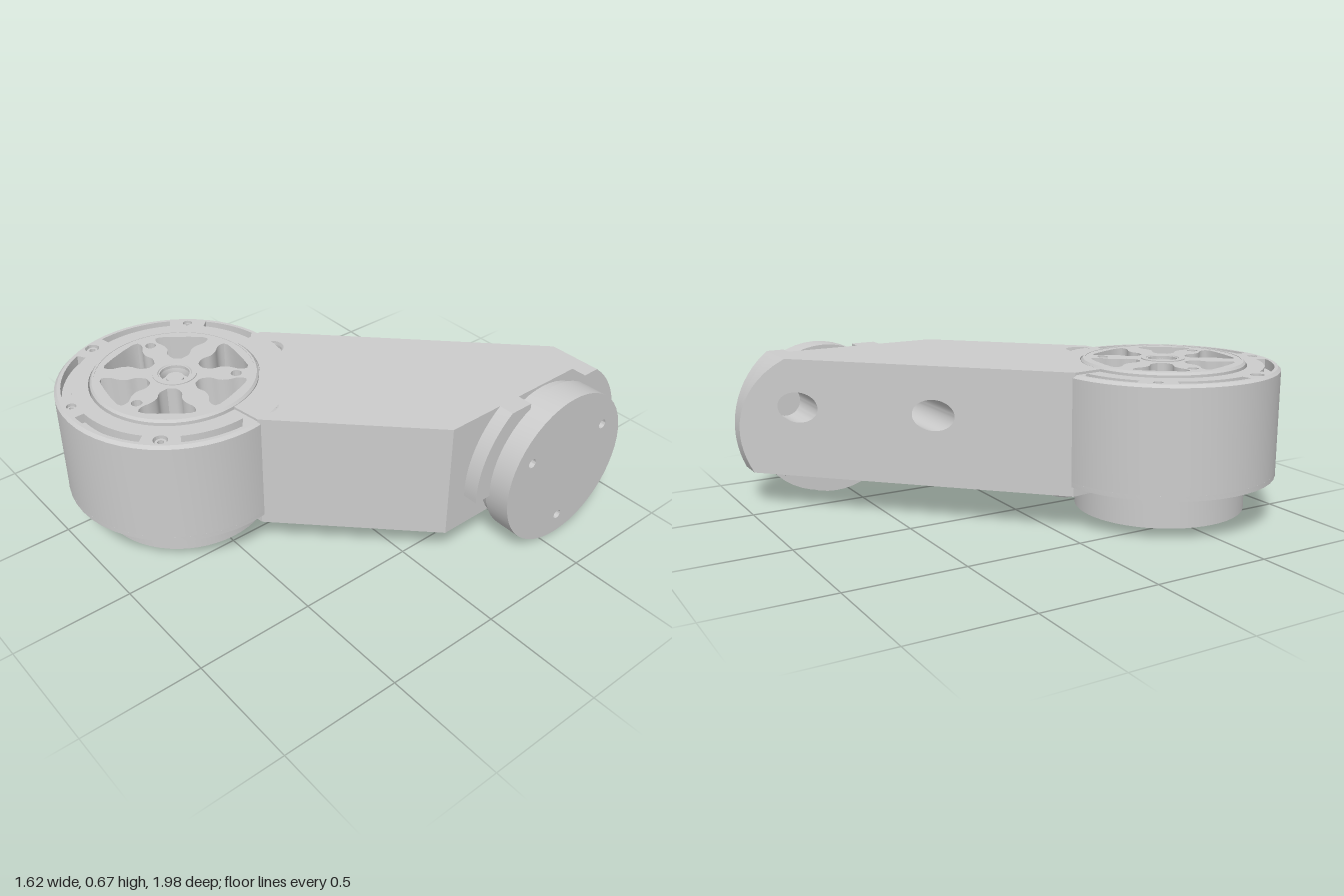
import * as THREE from 'three';
import { toCreasedNormals } from 'three/addons/utils/BufferGeometryUtils.js';

const grey = new THREE.MeshStandardMaterial({ color: 0xcccccc });
const greyOpen = new THREE.MeshStandardMaterial({ color: 0xcccccc, side: THREE.DoubleSide });
const CX = -0.335, CZ = 0.51;             // drum axis
const FA = 0.585, FY = 0.34;              // flange axis, as (-z, y)
const LOW = 0.16, HIGH = 0.665;           // arm bottom and top
const rad = THREE.MathUtils.degToRad;
const polar = (r, deg) => new THREE.Vector2(r * Math.cos(rad(deg)), r * Math.sin(rad(deg)));

function circle(r, x = 0, y = 0, Type = THREE.Path) {
  return new Type().absarc(x, y, r, 0, Math.PI * 2);
}

// Curved slot between two angles on a circle of radius r
function slot(r, w, from, to) {
  const pts = [];
  for (let i = 0; i <= 10; i++) pts.push(polar(r + w, from + (to - from) * i / 10));
  for (let i = 0; i <= 10; i++) pts.push(polar(r - w, to + (from - to) * i / 10));
  return new THREE.Path(pts);
}

export function createModel() {
  const group = new THREE.Group();
  const drum = new THREE.Group();
  drum.name = 'drum';
  drum.position.set(CX, 0, CZ);
  const arm = new THREE.Group();
  arm.name = 'arm';
  const flange = new THREE.Group();
  flange.name = 'flange';
  group.add(drum, arm, flange);

  function add(parent, name, geo, mat = grey) {
    const mesh = new THREE.Mesh(geo, mat);
    mesh.name = name;
    parent.add(mesh);
    return mesh;
  }
  const extrude = (shape, depth) => toCreasedNormals(
    new THREE.ExtrudeGeometry(shape, { depth, bevelEnabled: false, curveSegments: 24 }), 0.5);
  // Plate drawn in (x, z), hanging down from height top
  const plate = (shape, top, depth) => extrude(shape, depth).rotateX(Math.PI / 2).translate(0, top, 0);
  // Plate drawn in (-z, y), running along +x from x0
  const sidePlate = (shape, x0, depth) => extrude(shape, depth).rotateY(Math.PI / 2).translate(x0, 0, 0);
  const lathe = (pts, seg = 56) => toCreasedNormals(
    new THREE.LatheGeometry(pts.map(p => new THREE.Vector2(...p)), seg), 0.5);

  // ---- Drum: housing, recessed in the middle for the rotor
  add(drum, 'housing', lathe([[0, 0.22], [0.48, 0.22], [0.48, 0.643], [0.468, 0.655], [0.46, 0.655],
    [0.46, 0.615], [0.345, 0.615], [0.345, 0.53], [0, 0.53]]));
  add(drum, 'lowerBoss', lathe([[0, 0.05], [0.357, 0.05], [0.357, 0.22]]));

  // Rim plate with curved slots and screw holes
  const rim = circle(0.462, 0, 0, THREE.Shape);
  rim.holes.push(circle(0.345));
  for (let k = -1; k < 4; k++) rim.holes.push(slot(0.433, 0.02, 50 + 60 * k, (k === 3 ? 82 : 90) + 60 * k));
  const rimScrews = [[40, 0.032], [100, 0.022], [160, 0.032], [220, 0.022], [280, 0.05], [340, 0.05]];
  for (const [deg, r] of rimScrews) {
    const p = polar(0.433, deg);
    rim.holes.push(circle(r * 0.9, p.x, p.y));
    // Socket-head screw sunk in its hole
    const head = lathe([[r * 0.7, 0.61], [r * 0.7, 0.645], [r * 0.4, 0.645], [r * 0.4, 0.625], [0, 0.625]], 20);
    add(drum, 'rimScrew', head).position.set(p.x, 0, p.y);
  }
  add(drum, 'rimPlate', plate(rim, 0.655, 0.04));

  // Underside ring with small holes
  const under = circle(0.48, 0, 0, THREE.Shape);
  under.holes.push(circle(0.34));
  for (const deg of [40, 100, 160, 220]) {
    const p = polar(0.433, deg);
    under.holes.push(circle(0.018, p.x, p.y));
  }
  add(drum, 'undersideRing', plate(under, 0.22, 0.02));

  // Rotor with six leaf pockets and three screw holes
  const rotor = circle(0.325, 0, 0, THREE.Shape);
  rotor.holes.push(circle(0.06));
  const leaf = [[0.115, 9], [0.15, 17], [0.19, 15], [0.225, 18], [0.265, 23], [0.297, 18]];
  for (let k = 0; k < 6; k++) {
    const mid = -21 + 60 * k;
    const pts = [...leaf.map(([r, d]) => polar(r, mid + d)),
      ...leaf.slice().reverse().map(([r, d]) => polar(r, mid - d))];
    const curve = new THREE.SplineCurve([...pts, pts[0]]);
    rotor.holes.push(new THREE.Path(curve.getPoints(36)));
    if (k % 2 === 0) {
      const p = polar(0.247, mid - 30);
      rotor.holes.push(circle(0.022, p.x, p.y));
    }
  }
  add(drum, 'rotor', plate(rotor, 0.672, 0.142));
  add(drum, 'rotorEdge', lathe([[0.338, 0.53], [0.338, 0.664], [0.33, 0.674], [0.322, 0.674], [0.322, 0.66]]));
  add(drum, 'hub', lathe([[0.09, 0.66], [0.09, 0.676], [0.068, 0.676], [0.058, 0.655], [0.058, 0.63],
    [0.036, 0.63], [0.036, 0.655], [0, 0.655]], 32));

  // ---- Arm: box at 45 degrees, its tip rounded about the flange axis
  const tip = (y, side = 1) => FA + side * Math.sqrt(0.41 ** 2 - (y - FY) ** 2);
  const tipArc = (lo, hi, side = 1) => Array.from({ length: 17 }, (_, i) => {
    const y = lo + (hi - lo) * i / 16;
    return new THREE.Vector2(tip(y, side), y);
  });
  const ribbon = (pairs) => {               // quads between successive point pairs
    const idx = [];
    for (let i = 0; i < pairs.length - 1; i++) {
      const a = 2 * i;
      idx.push(a, a + 1, a + 2, a + 1, a + 3, a + 2);
    }
    const geo = new THREE.BufferGeometry();
    geo.setAttribute('position', new THREE.Float32BufferAttribute(pairs.flat(2), 3));
    geo.setIndex(idx);
    return toCreasedNormals(geo, 0.4);
  };
  const panel = (shape, place) => {         // flat shape mapped into space
    const geo = new THREE.ShapeGeometry(shape, 24);
    const pos = geo.attributes.position;
    for (let i = 0; i < pos.count; i++) pos.setXYZ(i, ...place(pos.getX(i), pos.getY(i)));
    geo.computeVertexNormals();
    return geo;
  };

  const inner = [[0.65, -0.085], [0.13, 0.44]];
  for (let i = 0; i <= 16; i++) {
    const p = polar(0.342, -8.5 - 88.2 * i / 16);
    inner.push([CX + p.x, CZ + p.y]);
  }
  inner.push([-0.39, 0.04]);
  add(arm, 'innerWall', ribbon(inner.map(([x, z]) => [[x, LOW, z], [x, HIGH, z]])), greyOpen);

  for (const y of [LOW, HIGH]) {
    const a = tip(y);
    const outline = new THREE.Shape([...inner, [a - 0.35, -a], [0.65, -a]].map(p => new THREE.Vector2(...p)));
    for (const deg of [280, 340]) {
      const p = polar(0.433, deg);
      if (y === HIGH) outline.holes.push(circle(0.053, CX + p.x, CZ + p.y));
      else {
        // Raised screw seat on the underside
        const seat = lathe([[0.03, 0.175], [0.03, 0.15], [0.055, 0.138], [0.07, 0.138], [0.085, 0.162]], 24);
        add(arm, 'screwSeat', seat, greyOpen).position.set(CX + p.x, 0, CZ + p.y);
      }
    }
    add(arm, y === HIGH ? 'topFace' : 'bottomFace', panel(outline, (x, z) => [x, y, z]), greyOpen);
  }

  const sideOutline = (start) => new THREE.Shape([new THREE.Vector2(start, LOW),
    ...tipArc(LOW, HIGH), new THREE.Vector2(start, HIGH)]);
  add(arm, 'endFace', panel(sideOutline(0.085), (a, y) => [0.65, y, -a]), greyOpen);
  add(arm, 'roundedTip', ribbon(tipArc(LOW, HIGH).map(p =>
    [[p.x - 0.35, p.y, -p.x], [0.65, p.y, -p.x]])), greyOpen);

  // Outer face with two access bores running along x
  const outer = sideOutline(-0.04);
  for (const a of [0.375, 0.8]) {
    outer.holes.push(circle(0.065, a, 0.46));
    const ring = circle(0.065, a, 0.46).getPoints(24);
    add(arm, 'accessBore', ribbon(ring.map(p => [[p.x - 0.35, p.y, -p.x], [0.63, p.y, -p.x]])), greyOpen);
    add(arm, 'boreEnd', new THREE.CircleGeometry(0.065, 24).rotateY(Math.PI / 2).translate(0.63, 0.46, -a), greyOpen);
  }
  add(arm, 'outerFace', panel(outer, (a, y) => [a - 0.35, y, -a]), greyOpen);

  // ---- Flange: collar lips, boss and drilled disc
  for (const [side, edge, lo] of [[-1, 0.44, 0.305], [1, 0.76, LOW]]) {
    const lip = new THREE.Shape([new THREE.Vector2(edge, lo), ...tipArc(lo, HIGH, side), new THREE.Vector2(edge, HIGH)]);
    add(flange, 'collarLip', sidePlate(lip, 0.645, 0.07));
  }
  add(flange, 'flangeBoss', sidePlate(circle(0.315, FA, FY, THREE.Shape), 0.6, 0.1));
  const disc = circle(0.335, FA, FY, THREE.Shape);
  for (const deg of [30, 150, 270]) {
    const p = polar(0.244, deg);
    disc.holes.push(circle(0.02, FA + p.x, FY + p.y));
  }
  add(flange, 'flangeDisc', sidePlate(disc, 0.695, 0.115));

  return group;
}
